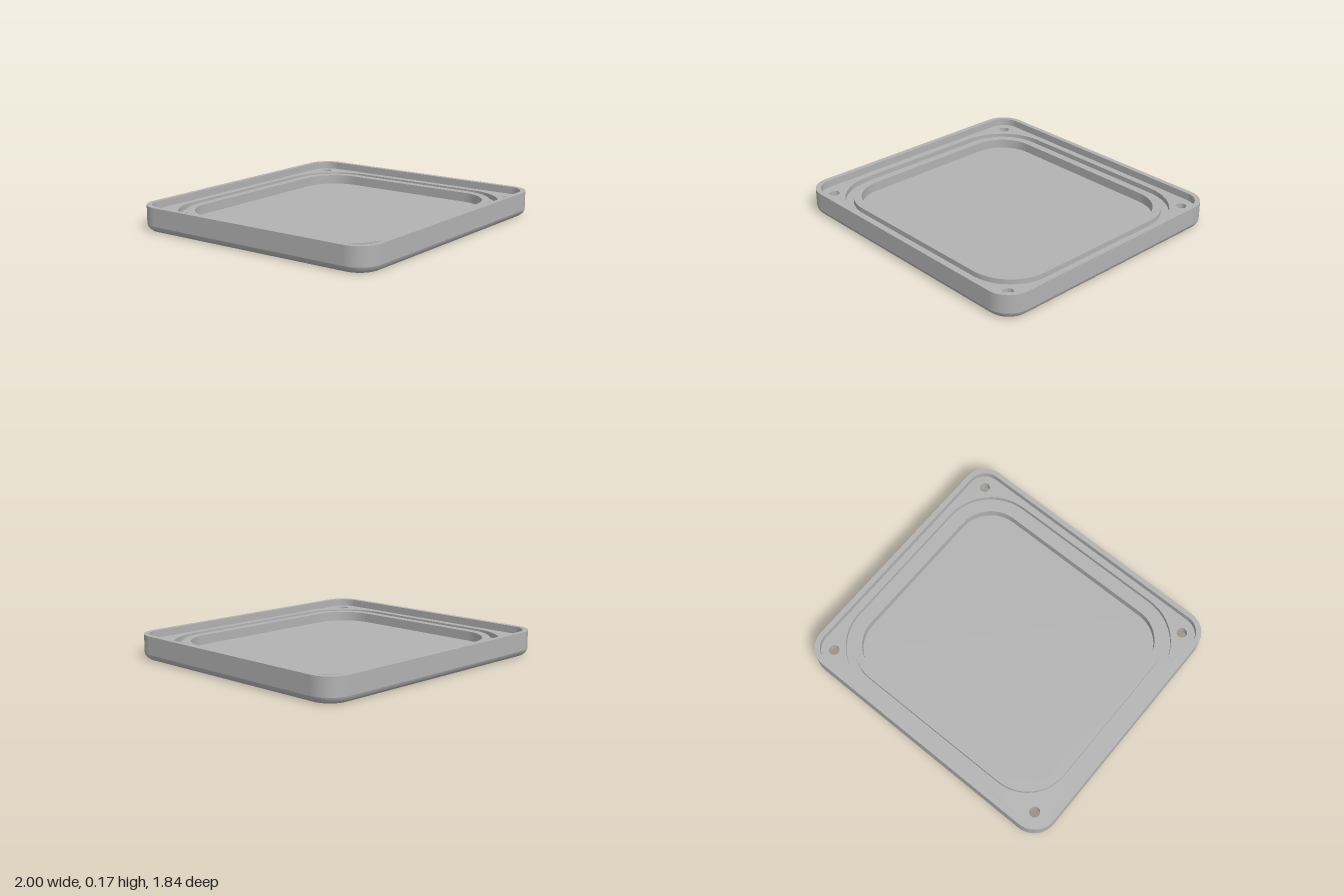
import * as THREE from 'three';

const CORNER_STEPS = 12;

// Rounded rectangle (or circle, when r equals both half sizes), counter-clockwise from above
function loop(hw, hd, r, cx = 0, cy = 0) {
  const pts = [];
  const round = r >= hw && r >= hd;
  [[1, 1], [-1, 1], [-1, -1], [1, -1]].forEach(([sx, sy], q) => {
    for (let j = 0; j < CORNER_STEPS + (round ? 0 : 1); j++) {
      const a = (q + j / CORNER_STEPS) * Math.PI / 2;
      pts.push(new THREE.Vector2(
        cx + sx * (hw - r) + r * Math.cos(a),
        cy + sy * (hd - r) + r * Math.sin(a)));
    }
  });
  return pts;
}

// Skin through stacked loops: rising stacks face outwards, falling stacks face inwards
function wallGeometry(levels) {
  const pos = [], index = [], n = levels[0][0].length;
  for (const [pts, y] of levels) for (const p of pts) pos.push(p.x, y, -p.y);
  for (let k = 0; k < levels.length - 1; k++) {
    for (let i = 0; i < n; i++) {
      const a = k * n + i, b = k * n + (i + 1) % n;
      index.push(a, b, b + n, a, b + n, a + n);
    }
  }
  const g = new THREE.BufferGeometry();
  g.setAttribute('position', new THREE.Float32BufferAttribute(pos, 3));
  g.setIndex(index);
  g.computeVertexNormals();
  return g;
}

// Flat face with holes, looking up or down
function faceGeometry(outline, holes, y, up = true) {
  const shape = new THREE.Shape(outline);
  shape.holes = holes.map(h => new THREE.Path(h));
  const g = new THREE.ShapeGeometry(shape);
  g.rotateX(up ? -Math.PI / 2 : Math.PI / 2);
  g.translate(0, y, 0);
  return g;
}

export function createModel() {
  const model = new THREE.Group();
  model.name = 'squareCover';
  const grey = new THREE.MeshStandardMaterial({ color: 0xb2b2b2 });
  grey.name = 'plain grey';
  const add = (name, geometry) => {
    const mesh = new THREE.Mesh(geometry, grey);
    mesh.name = name;
    model.add(mesh);
  };

  const W = 1, D = 0.922, TOP = 0.165, LEDGE = 0.115, FLOOR = 0.05, GROOVE = 0.08;
  const BORE = 0.06, LABEL = 0.01;

  const outer = loop(W, D, 0.16);
  const base = loop(W - 0.03, D - 0.03, 0.13);
  const rim = loop(0.965, 0.887, 0.125);
  const grooveOut = loop(0.915, 0.84, 0.36);
  const grooveIn = loop(0.86, 0.785, 0.305);
  const pocket = loop(0.805, 0.73, 0.25);
  const label = loop(0.53, 0.285, 0.055);
  const spots = [[1, 1], [-1, 1], [-1, -1], [1, -1]].map(([x, y]) => [x * 0.865, y * 0.79]);
  const holes = spots.map(([x, y]) => loop(0.035, 0.035, 0.035, x, y));
  const bores = spots.map(([x, y]) => loop(0.057, 0.057, 0.057, x, y));

  // Outer shell with a softened lower edge
  add('lowerEdge', wallGeometry([
    [base, 0],
    [loop(W - 0.015, D - 0.015, 0.145), 0.012],
    [loop(W - 0.005, D - 0.005, 0.155), 0.025],
    [outer, 0.04]]));
  add('outerWall', wallGeometry([[outer, 0.04], [outer, TOP]]));
  add('rimTop', faceGeometry(outer, [rim], TOP));
  add('rimInnerWall', wallGeometry([[rim, TOP], [rim, LEDGE]]));

  // Ledge and seal groove
  add('ledge', faceGeometry(rim, [grooveOut, ...holes], LEDGE));
  add('grooveOuterWall', wallGeometry([[grooveOut, LEDGE], [grooveOut, GROOVE]]));
  add('grooveFloor', faceGeometry(grooveOut, [grooveIn], GROOVE));
  add('grooveInnerWall', wallGeometry([[grooveIn, GROOVE], [grooveIn, LEDGE]]));
  add('pocketLip', faceGeometry(grooveIn, [pocket], LEDGE));

  // Central pocket
  add('pocketWall', wallGeometry([[pocket, LEDGE], [pocket, FLOOR]]));
  add('pocketFloor', faceGeometry(pocket, [], FLOOR));

  // Screw holes, widened from below
  holes.forEach((hole, i) => {
    add('screwHole', wallGeometry([[hole, LEDGE], [hole, BORE]]));
    add('screwBoreSeat', faceGeometry(bores[i], [hole], BORE, false));
    add('screwBore', wallGeometry([[bores[i], BORE], [bores[i], 0]]));
  });

  // Underside with a shallow label recess
  add('underside', faceGeometry(base, [label, ...bores], 0, false));
  add('labelRecessWall', wallGeometry([[label, LABEL], [label, 0]]));
  add('labelRecessFloor', faceGeometry(label, [], LABEL, false));

  return model;
}
